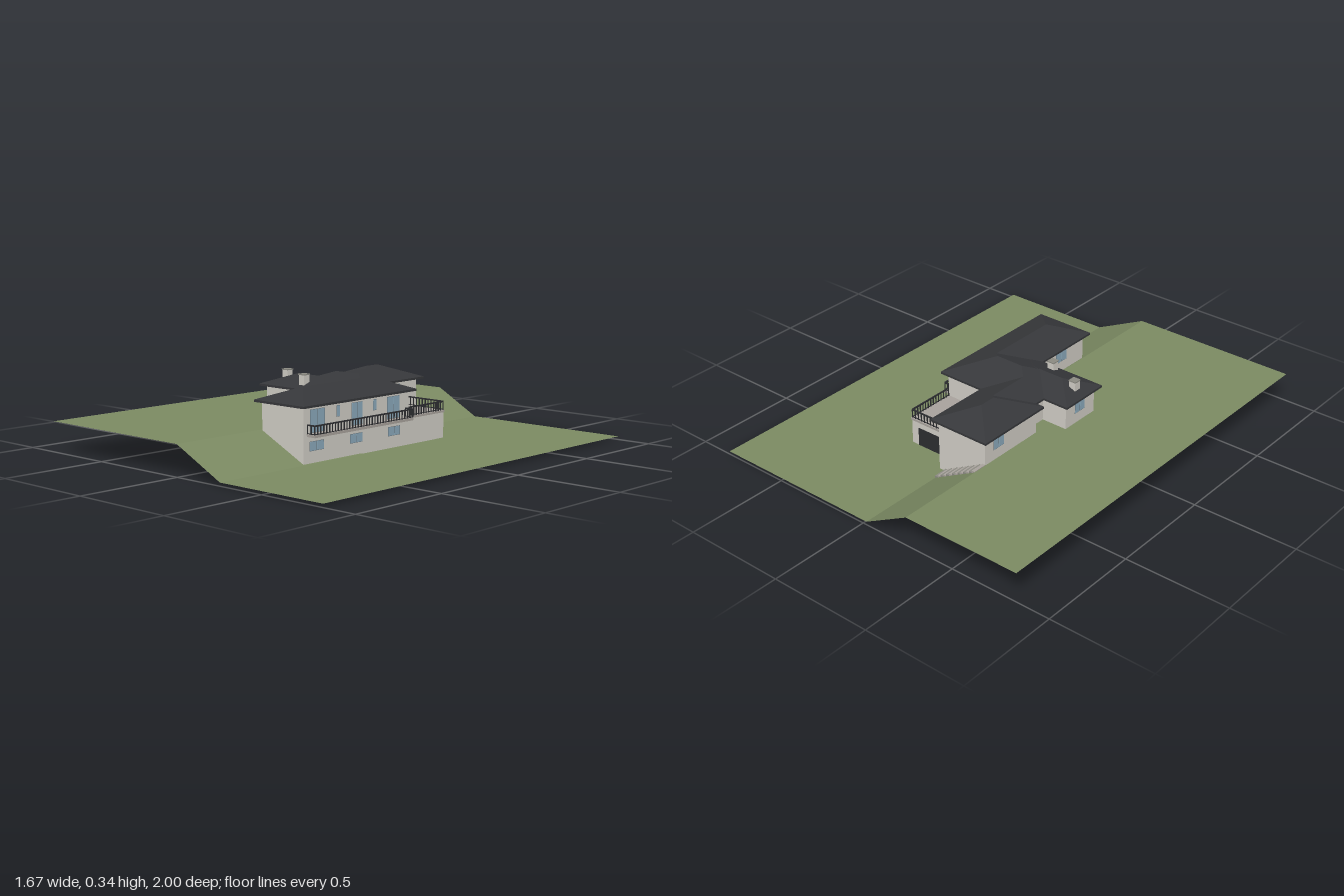
import * as THREE from 'three';

const mat = (color, extra = {}) => new THREE.MeshStandardMaterial({ color, ...extra });
const wallMat = mat(0xd0cdc5), roofMat = mat(0x36373a, { flatShading: true }), glassMat = mat(0x8aa9bb);
const darkMat = mat(0x2c2d30), stoneMat = mat(0xa8a29c), stepMat = mat(0x8b8a82), frameMat = mat(0x6b7880);
const grassMat = mat(0x7b8a62, { side: THREE.DoubleSide, flatShading: true });

const EAVE = 0.272, PITCH = 0.375, FLOOR = 0.14, GROUND = 0.015;

// Box given by its limits on each axis
function box(parent, name, [x0, x1], [y0, y1], [z0, z1], material) {
  const m = new THREE.Mesh(new THREE.BoxGeometry(x1 - x0, y1 - y0, z1 - z0), material);
  m.position.set((x0 + x1) / 2, (y0 + y1) / 2, (z0 + z1) / 2);
  m.name = name;
  parent.add(m);
  return m;
}

// Hip roof of constant pitch over a rectangle, on a thin eave slab
function hipRoof(parent, name, [x0, x1], [z0, z1]) {
  const g = new THREE.Group();
  g.name = name;
  const half = Math.min(x1 - x0, z1 - z0) / 2, top = EAVE + half * PITCH;
  const alongX = x1 - x0 > z1 - z0, cx = (x0 + x1) / 2, cz = (z0 + z1) / 2;
  const a = [x0, EAVE, z1], b = [x1, EAVE, z1], c = [x1, EAVE, z0], d = [x0, EAVE, z0];
  const r0 = alongX ? [x0 + half, top, cz] : [cx, top, z1 - half];
  const r1 = alongX ? [x1 - half, top, cz] : [cx, top, z0 + half];
  const tris = alongX
    ? [a, b, r1, a, r1, r0, b, c, r1, c, d, r0, c, r0, r1, d, a, r0]
    : [a, b, r0, b, c, r1, b, r1, r0, c, d, r1, d, a, r0, d, r0, r1];
  const geo = new THREE.BufferGeometry();
  geo.setAttribute('position', new THREE.Float32BufferAttribute(tris.flat(), 3));
  geo.computeVertexNormals();
  const slopes = new THREE.Mesh(geo, roofMat);
  slopes.name = name + 'Slopes';
  g.add(slopes);
  box(g, name + 'Eaves', [x0, x1], [0.262, EAVE], [z0, z1], roofMat);
  parent.add(g);
}

// Window on a wall: frame with panes; built facing +z, then turned
function addWindow(parent, x, z, turn, width, y0, y1) {
  const g = new THREE.Group();
  g.name = 'window';
  box(g, 'windowFrame', [-width / 2, width / 2], [y0, y1], [-0.003, 0.001], frameMat);
  const n = width > 0.04 ? 2 : 1, w = width / n, t = 0.002;
  for (let i = 0; i < n; i++) {
    const s = -width / 2 + i * w;
    box(g, 'windowPane', [s + t, s + w - t], [y0 + t, y1 - t], [-0.002, 0.002], glassMat);
  }
  g.position.set(x, 0, z);
  g.rotation.y = turn;
  parent.add(g);
}

// Straight railing with posts and two bars
function railing(parent, name, ax, az, bx, bz) {
  const g = new THREE.Group();
  g.name = name;
  const len = Math.hypot(bx - ax, bz - az), n = Math.max(2, Math.round(len / 0.018));
  for (let i = 0; i <= n; i++) {
    const s = (i / n) * len;
    box(g, 'railPost', [s - 0.002, s + 0.002], [FLOOR, 0.186], [-0.002, 0.002], darkMat);
  }
  box(g, 'handrail', [0, len], [0.183, 0.189], [-0.003, 0.003], darkMat);
  box(g, 'lowerRail', [0, len], [0.148, 0.151], [-0.002, 0.002], darkMat);
  g.position.set(ax, 0, az);
  g.rotation.y = -Math.atan2(bz - az, bx - ax);
  parent.add(g);
}

// Sloping plot: a high side and a low side joined by a bank that shifts under the house
function terrain() {
  const rows = [[1, 0, 0.26], [0.15, 0, 0.26], [-0.05, -0.2, 0.1], [-0.15, -0.2, 0], [-0.16, -0.25, -0.02], [-1, -0.25, -0.02]];
  const pos = [], idx = [];
  rows.forEach(([z, crest, toe], r) => {
    pos.push(-0.835, FLOOR, z, crest, FLOOR, z, toe, GROUND, z, 0.835, GROUND, z);
    if (r === 0) return;
    for (let c = 0; c < 3; c++) {
      const i = (r - 1) * 4 + c;
      idx.push(i, i + 1, i + 5, i, i + 5, i + 4);
    }
  });
  const geo = new THREE.BufferGeometry();
  geo.setAttribute('position', new THREE.Float32BufferAttribute(pos, 3));
  geo.setIndex(idx);
  geo.computeVertexNormals();
  const m = new THREE.Mesh(geo, grassMat);
  m.name = 'terrain';
  return m;
}

export function createModel() {
  const model = new THREE.Group();
  model.name = 'hillsideHouse';
  model.add(terrain());

  // Walls
  const walls = new THREE.Group();
  walls.name = 'walls';
  model.add(walls);
  const top = 0.265;
  box(walls, 'eastWing', [0.005, 0.255], [0.01, top], [-0.165, 0.515], wallMat);
  box(walls, 'northWing', [-0.25, 0.015], [0, top], [-0.5, -0.155], wallMat);
  box(walls, 'westWing', [-0.335, 0.006], [0.141, top], [-0.05, 0.155], wallMat);
  box(walls, 'connector', [-0.205, 0.014], [0.141, top], [-0.156, 0], wallMat);
  box(walls, 'innerBasement', [-0.09, 0.006], [0.01, FLOOR], [-0.156, 0.05], wallMat);

  // Roofs of equal pitch, crossing to form the valleys
  const roofs = new THREE.Group();
  roofs.name = 'roofs';
  model.add(roofs);
  hipRoof(roofs, 'northRoof', [-0.275, 0.04], [-0.525, -0.13]);
  hipRoof(roofs, 'connectorRoof', [-0.23, 0.04], [-0.42, 0.1]);
  hipRoof(roofs, 'centreRoof', [-0.23, 0.28], [-0.19, 0.178]);
  hipRoof(roofs, 'eastRoof', [-0.02, 0.28], [-0.19, 0.54]);
  hipRoof(roofs, 'westRoof', [-0.36, 0.06], [-0.075, 0.18]);

  // Chimneys
  for (const [x, z] of [[-0.3, 0.055], [-0.118, 0.13]]) {
    box(model, 'chimney', [x - 0.017, x + 0.017], [0.27, 0.33], [z - 0.017, z + 0.017], wallMat);
    box(model, 'chimneyCap', [x - 0.019, x + 0.019], [0.33, 0.335], [z - 0.019, z + 0.019], stepMat);
  }

  // Windows: x, z, turn, width, bottom, top
  const E = Math.PI / 2, W = -Math.PI / 2;
  const windows = [
    [0.255, 0.43, E, 0.09, 0.148, 0.25], [0.255, 0.3, E, 0.022, 0.2, 0.25],
    [0.255, 0.18, E, 0.07, 0.148, 0.25], [0.255, 0.063, E, 0.022, 0.2, 0.25],
    [0.255, -0.06, E, 0.085, 0.148, 0.25],
    [0.015, -0.215, E, 0.09, 0.148, 0.25], [0.015, -0.34, E, 0.08, 0.148, 0.25],
    [0.255, 0.435, E, 0.088, 0.07, 0.112], [0.255, 0.185, E, 0.08, 0.07, 0.112],
    [0.255, -0.065, E, 0.08, 0.07, 0.112],
    [-0.16, 0.155, 0, 0.085, 0.148, 0.247], [-0.065, 0.155, 0, 0.022, 0.205, 0.247],
    [-0.25, -0.41, W, 0.07, 0.19, 0.247], [-0.335, 0.05, W, 0.07, 0.19, 0.247],
    [0.005, 0.35, W, 0.08, 0.19, 0.247],
  ];
  for (const w of windows) addWindow(model, ...w);
  box(model, 'openDoor', [-0.117, -0.113], [0.148, 0.247], [0.15, 0.165], darkMat);

  // Balcony along the east wall
  box(model, 'balconySlab', [0.25, 0.303], [0.135, 0.147], [-0.145, 0.495], stoneMat);
  railing(model, 'balconyRail', 0.3, 0.492, 0.3, -0.142);
  railing(model, 'balconyEndRail', 0.257, 0.492, 0.3, 0.492);
  railing(model, 'balconyEndRail', 0.257, -0.142, 0.3, -0.142);

  // Garage with roof terrace
  box(model, 'garage', [0.014, 0.255], [0.01, 0.135], [-0.415, -0.16], wallMat);
  box(model, 'terraceFloor', [0.014, 0.258], [0.135, 0.145], [-0.42, -0.16], stoneMat);
  box(model, 'garageDoor', [0.07, 0.215], [0.016, 0.105], [-0.418, -0.41], darkMat);
  railing(model, 'terraceSideRail', 0.253, -0.17, 0.253, -0.414);
  railing(model, 'terraceBackRail', 0.018, -0.414, 0.253, -0.414);

  // Outdoor steps down the bank
  const steps = new THREE.Group();
  steps.name = 'outdoorSteps';
  model.add(steps);
  const count = 14, tread = 0.23 / count, rise = (FLOOR - GROUND) / count;
  for (let i = 0; i < count; i++) {
    const x = -0.25 + i * tread, y = FLOOR + 0.003 - i * rise;
    box(steps, 'step', [x, x + tread], [y - 0.014, y], [-0.57, -0.5], i % 2 ? stepMat : stoneMat);
  }
  return model;
}
